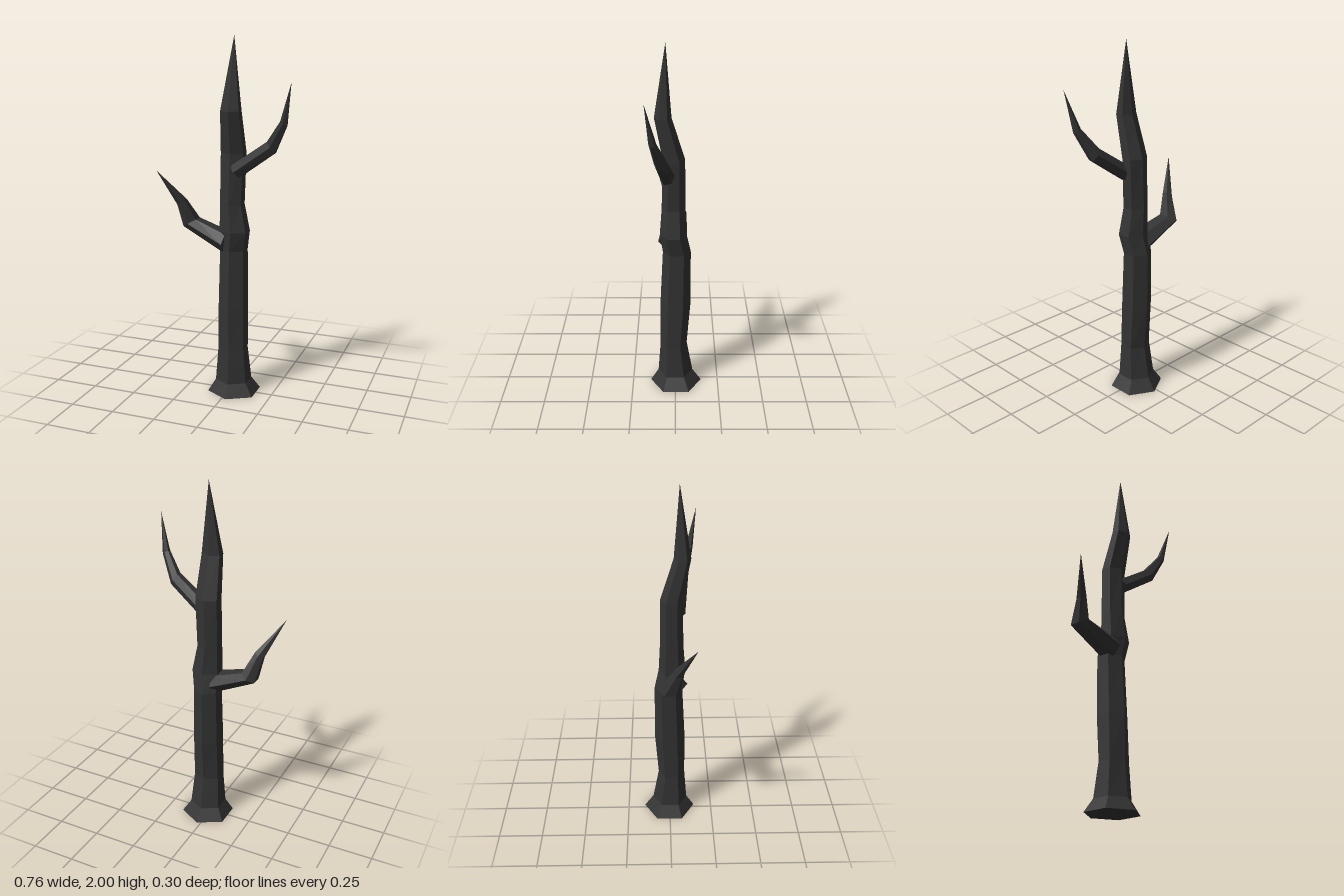
import * as THREE from 'three';

const SIDES = 6;
const bark = new THREE.MeshStandardMaterial({ color: 0x333333, flatShading: true });

// Skins six-sided rings [x, y, z, in-plane radius, z radius, tilt in degrees]
// and closes the far end in a point; both ends are capped.
function limb(name, rings, tip) {
  const pos = [];
  const index = [];
  for (const [x, y, z, ra, rb, tilt = 0] of rings) {
    const t = THREE.MathUtils.degToRad(tilt);
    for (let i = 0; i < SIDES; i++) {
      const a = Math.PI / 2 + (i / SIDES) * Math.PI * 2;
      const u = Math.cos(a) * ra;
      pos.push(x + u * Math.cos(t), y + u * Math.sin(t), z + Math.sin(a) * rb);
    }
  }
  const tipId = rings.length * SIDES;
  const baseId = tipId + 1;
  pos.push(...tip, ...rings[0].slice(0, 3));
  for (let r = 0; r < rings.length; r++) {
    for (let i = 0; i < SIDES; i++) {
      const a = r * SIDES + i;
      const b = r * SIDES + (i + 1) % SIDES;
      if (r === 0) index.push(baseId, a, b);
      if (r === rings.length - 1) index.push(a, tipId, b);
      else index.push(a, a + SIDES, b, b, a + SIDES, b + SIDES);
    }
  }
  const geo = new THREE.BufferGeometry();
  geo.setAttribute('position', new THREE.Float32BufferAttribute(pos, 3));
  geo.setIndex(index);
  const flat = geo.toNonIndexed();
  flat.computeVertexNormals();
  const mesh = new THREE.Mesh(flat, bark);
  mesh.name = name;
  return mesh;
}

export function createModel() {
  const tree = new THREE.Group();
  tree.name = 'deadTree';

  // Trunk: flared foot, slightly crooked stem, pointed top
  tree.add(limb('trunk', [
    [0.022, 0, -0.003, 0.153, 0.148],
    [0.02, 0.07, 0, 0.104, 0.1],
    [0.02, 0.26, 0.01, 0.087, 0.076],
    [0.018, 0.51, 0, 0.084, 0.086],
    [0.018, 0.84, -0.008, 0.078, 0.078],
    [0.03, 0.95, 0.012, 0.087, 0.074],
    [0.015, 1.1, 0.01, 0.069, 0.065],
    [0.022, 1.38, 0.008, 0.073, 0.06],
    [0.027, 1.61, 0.066, 0.06, 0.046],
  ], [0.04, 2, 0.05]));

  // Lower branch on the right
  tree.add(limb('rightBranch', [
    [-0.02, 0.885, 0.015, 0.058, 0.082, 80],
    [-0.235, 0.975, -0.004, 0.05, 0.06, 30],
    [-0.272, 1.095, 0.04, 0.031, 0.03, 34],
  ], [-0.38, 1.28, 0.135]));

  // Upper branch on the left
  tree.add(limb('leftBranch', [
    [0.045, 1.285, 0.04, 0.045, 0.044, -52],
    [0.255, 1.43, 0.072, 0.042, 0.035, -56],
    [0.332, 1.56, 0.112, 0.023, 0.02, -30],
  ], [0.38, 1.77, 0.15]));

  return tree;
}
